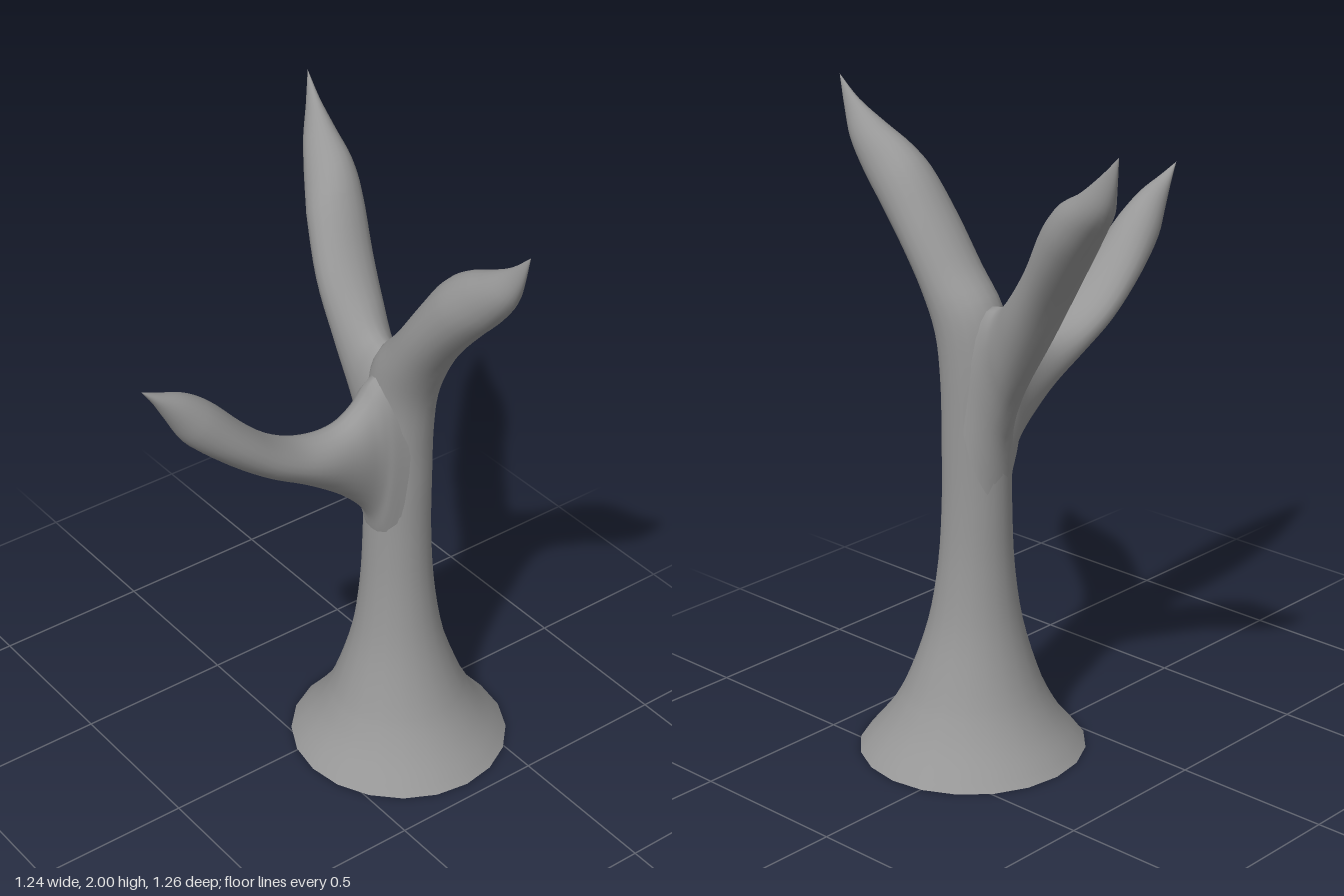
import * as THREE from 'three';

const SIDES = 20;
const STEPS = 4; // rings per section

// Lofts an elliptical limb. Each section: [upper s, upper y, lower s, lower y, sideways centre, half width].
// place(s, y, w) maps limb coordinates to the model; turn sets the winding.
function limb(name, sections, place, turn) {
  const upper = new THREE.CatmullRomCurve3(sections.map(([s, y]) => new THREE.Vector3(s, y, 0)));
  const lower = new THREE.CatmullRomCurve3(sections.map(([, , s, y]) => new THREE.Vector3(s, y, 0)));
  const width = new THREE.CatmullRomCurve3(sections.map(([, , , , c, h], i) => new THREE.Vector3(c, h, i * 0.1)));
  const rings = (sections.length - 1) * STEPS;
  const positions = [];
  const index = [];
  for (let i = 0; i <= rings; i++) {
    const t = i / rings;
    const u = upper.getPoint(t);
    const l = lower.getPoint(t);
    const w = width.getPoint(t);
    const mid = u.clone().add(l).multiplyScalar(0.5);
    const half = u.clone().sub(l).multiplyScalar(0.5);
    for (let j = 0; j < SIDES; j++) {
      const a = (j / SIDES) * Math.PI * 2;
      const cos = Math.cos(a);
      positions.push(...place(
        mid.x + half.x * cos,
        Math.max(0, mid.y + half.y * cos),
        w.x + turn * Math.max(0, w.y) * Math.sin(a)
      ));
      if (i < rings) {
        const p = i * SIDES + j;
        const q = i * SIDES + ((j + 1) % SIDES);
        index.push(p, q, p + SIDES, q, q + SIDES, p + SIDES);
      }
    }
  }
  const geometry = new THREE.BufferGeometry();
  geometry.setAttribute('position', new THREE.Float32BufferAttribute(positions, 3));
  geometry.setIndex(index);
  geometry.computeVertexNormals();
  const mesh = new THREE.Mesh(
    geometry,
    new THREE.MeshStandardMaterial({ color: 0x979797, side: THREE.DoubleSide })
  );
  mesh.name = name;
  return mesh;
}

export function createModel() {
  const group = new THREE.Group();
  group.name = 'tree';
  const alongX = (s, y, w) => [s, y, w];
  const alongZ = (s, y, w) => [w, y, s];

  // Flared trunk, open below, running on into the left branch
  group.add(limb('trunkAndLeftBranch', [
    [-0.245, 0, 0.45, 0, -0.29, 0.345],
    [-0.165, 0.1, 0.37, 0.1, -0.288, 0.265],
    [-0.11, 0.2, 0.31, 0.2, -0.285, 0.21],
    [-0.05, 0.4, 0.24, 0.4, -0.28, 0.145],
    [-0.025, 0.6, 0.205, 0.6, -0.278, 0.115],
    [-0.02, 0.8, 0.192, 0.8, -0.277, 0.104],
    [-0.02, 1.02, 0.19, 0.98, -0.277, 0.102],
    [-0.02, 1.25, 0.19, 1.15, -0.278, 0.102],
    [0.01, 1.41, 0.205, 1.3, -0.28, 0.102],
    [0.1, 1.52, 0.25, 1.42, -0.28, 0.101],
    [0.2, 1.66, 0.32, 1.53, -0.28, 0.1],
    [0.29, 1.78, 0.42, 1.645, -0.28, 0.09],
    [0.36, 1.835, 0.5, 1.73, -0.28, 0.072],
    [0.45, 1.88, 0.565, 1.82, -0.28, 0.05],
    [0.55, 1.938, 0.597, 1.9, -0.28, 0.02],
    [0.622, 2, 0.622, 2, -0.28, 0],
  ], alongX, 1));

  // Right branch, sweeping back
  group.add(limb('rightBranch', [
    [0.1, 1.25, -0.014, 0.82, -0.278, 0.095],
    [0.07, 1.37, -0.03, 1, -0.279, 0.085],
    [0.01, 1.415, -0.06, 1.09, -0.282, 0.08],
    [-0.04, 1.427, -0.1, 1.17, -0.29, 0.082],
    [-0.11, 1.49, -0.2, 1.33, -0.305, 0.092],
    [-0.2, 1.6, -0.3, 1.49, -0.325, 0.1],
    [-0.3, 1.75, -0.42, 1.645, -0.368, 0.095],
    [-0.37, 1.82, -0.5, 1.74, -0.4, 0.075],
    [-0.46, 1.87, -0.565, 1.82, -0.428, 0.048],
    [-0.55, 1.938, -0.597, 1.9, -0.448, 0.02],
    [-0.622, 2, -0.622, 2, -0.465, 0],
  ], alongX, -1));

  // Front branch, with a deep web where it leaves the trunk
  group.add(limb('frontBranch', [
    [-0.27, 1.38, -0.205, 0.74, 0.086, 0.1],
    [-0.2, 1.385, -0.179, 0.82, 0.087, 0.093],
    [-0.165, 1.365, -0.16, 0.89, 0.087, 0.086],
    [-0.13, 1.32, -0.125, 0.945, 0.088, 0.081],
    [-0.07, 1.275, -0.06, 1.01, 0.09, 0.08],
    [0, 1.26, 0.02, 1.075, 0.092, 0.083],
    [0.1, 1.275, 0.13, 1.15, 0.092, 0.091],
    [0.2, 1.33, 0.26, 1.23, 0.092, 0.097],
    [0.3, 1.42, 0.4, 1.34, 0.092, 0.09],
    [0.41, 1.535, 0.5, 1.435, 0.09, 0.07],
    [0.49, 1.59, 0.55, 1.52, 0.09, 0.045],
    [0.57, 1.622, 0.595, 1.6, 0.09, 0.02],
    [0.63, 1.65, 0.63, 1.65, 0.09, 0],
  ], alongZ, -1));

  return group;
}
